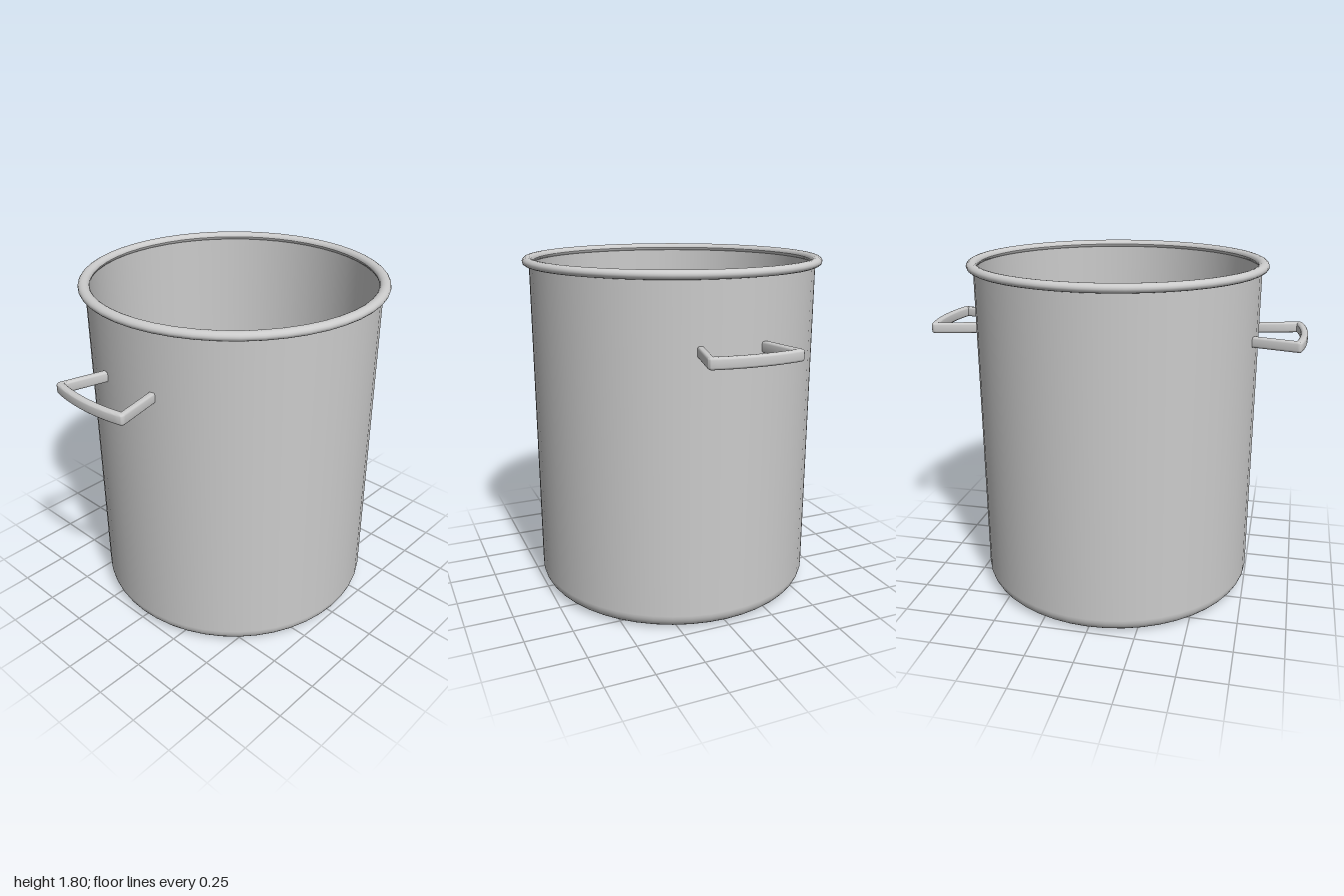
import * as THREE from 'three';
import { toCreasedNormals } from 'three/addons/utils/BufferGeometryUtils.js';

const SEGMENTS = 48;

function mesh(name, geometry, material) {
  const m = new THREE.Mesh(geometry, material);
  m.name = name;
  return m;
}

// quarter-round points about (cx, cy) from angle a0 to a1
function arcPoints(cx, cy, rx, ry, a0, a1, n) {
  return Array.from({ length: n + 1 }, (_, i) => {
    const a = a0 + ((a1 - a0) * i) / n;
    return new THREE.Vector2(cx + rx * Math.cos(a), cy + ry * Math.sin(a));
  });
}

// U-shaped outline: two radial legs joined by a bar concentric with the pot
function handleGeometry() {
  const outerR = 1, innerR = 0.963, rootR = 0.745, half = 0.244, legWidth = 0.033, bevel = 0.012;
  const polar = (r, a, inset = 0) => [
    r * Math.cos(a) + inset * Math.sin(a),
    r * Math.sin(a) - inset * Math.cos(a),
  ];
  const mirror = ([x, y]) => [x, -y];
  const corner = 0.022;
  const cornerAngle = half - corner / outerR;
  const innerAngle = half - legWidth / innerR;

  const s = new THREE.Shape();
  s.moveTo(...mirror(polar(rootR, half)));
  s.lineTo(...mirror(polar(outerR - corner, half)));
  s.quadraticCurveTo(...mirror(polar(outerR, half)), ...mirror(polar(outerR, cornerAngle)));
  s.absarc(0, 0, outerR, -cornerAngle, cornerAngle, false);
  s.quadraticCurveTo(...polar(outerR, half), ...polar(outerR - corner, half));
  s.lineTo(...polar(rootR, half));
  s.lineTo(...polar(rootR, half, legWidth));
  s.lineTo(...polar(innerR, innerAngle));
  s.absarc(0, 0, innerR, innerAngle, -innerAngle, true);
  s.lineTo(...mirror(polar(rootR, half, legWidth)));
  s.closePath();

  const g = new THREE.ExtrudeGeometry(s, {
    depth: 0.056 - 2 * bevel, bevelEnabled: true, bevelThickness: bevel,
    bevelSize: bevel, bevelOffset: -bevel, bevelSegments: 3, curveSegments: 10,
  });
  g.rotateX(-Math.PI / 2);
  g.translate(0, 1.4 + bevel, 0);
  return toCreasedNormals(g, 0.7);
}

export function createModel() {
  const group = new THREE.Group();
  group.name = 'stockPot';
  const steel = new THREE.MeshStandardMaterial({ color: 0xcccccc });

  // outer wall with a rounded base edge
  const outer = [
    new THREE.Vector2(0, 0),
    ...arcPoints(0.67, 0.08, 0.08, 0.08, -Math.PI / 2, 0, 8),
    new THREE.Vector2(0.75, 1.78),
  ];
  group.add(mesh('outerWall', new THREE.LatheGeometry(outer, SEGMENTS), steel));

  // inner wall and floor
  const inner = [
    new THREE.Vector2(0.735, 1.78),
    ...arcPoints(0.67, 0.08, 0.065, 0.065, 0, -Math.PI / 2, 8),
    new THREE.Vector2(0, 0.015),
  ];
  group.add(mesh('innerWall', new THREE.LatheGeometry(inner, SEGMENTS), steel));

  // rolled rim
  const rim = arcPoints(0.756, 1.7775, 0.029, 0.0225, -Math.PI, Math.PI, 16);
  group.add(mesh('rim', new THREE.LatheGeometry(rim, SEGMENTS), steel));

  // handles on both sides
  const handle = handleGeometry();
  group.add(mesh('leftHandle', handle, steel));
  const right = mesh('rightHandle', handle, steel);
  right.rotation.y = Math.PI;
  group.add(right);

  return group;
}
